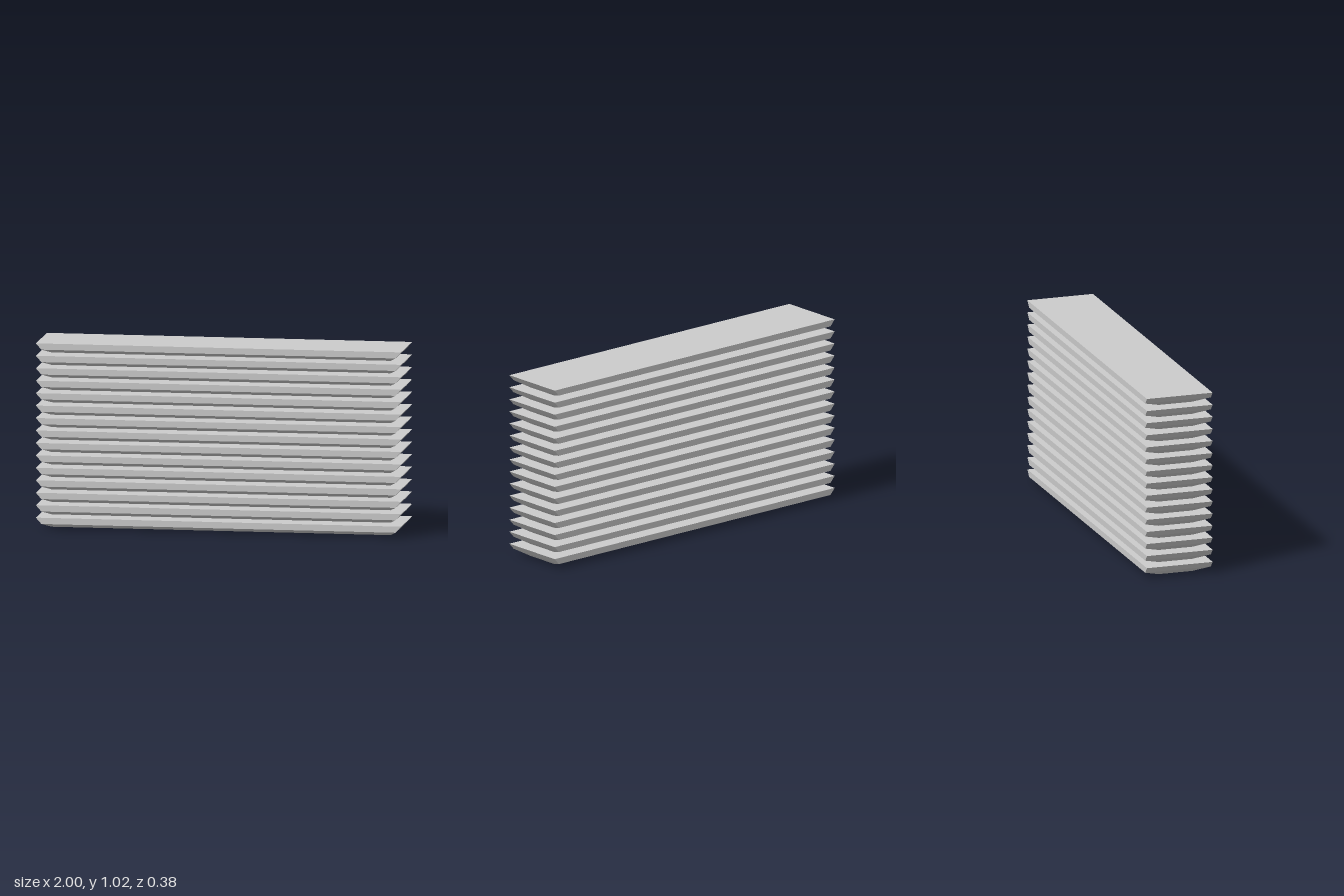
import * as THREE from 'three';

const COUNT = 15, PITCH = 0.0681, HEIGHT = 0.062;

// Half sizes of a slat at its bottom, middle and top levels
const LEVELS = [
  { y: 0, x: 0.928, z: 0.096 },
  { y: 0.028, x: 0.97, z: 0.1875 },
  { y: HEIGHT, x: 1, z: 0.1875 },
];

// Slat: a box with one middle ring, its lower rings drawn inwards
function slatGeometry() {
  const geo = new THREE.BoxGeometry(2, 2, 2, 1, 2, 1);
  const pos = geo.attributes.position;
  for (let i = 0; i < pos.count; i++) {
    const level = LEVELS[Math.round(pos.getY(i)) + 1];
    pos.setXYZ(i, pos.getX(i) * level.x, level.y, pos.getZ(i) * level.z);
  }
  const flat = geo.toNonIndexed();
  flat.computeVertexNormals();
  return flat;
}

export function createModel() {
  const group = new THREE.Group();
  group.name = 'slatStack';
  const material = new THREE.MeshStandardMaterial({ color: 0xcccccc, flatShading: true });
  const geometry = slatGeometry();

  // Evenly spaced stack of slats
  for (let i = 0; i < COUNT; i++) {
    const slat = new THREE.Mesh(geometry, material);
    slat.name = `slat${i + 1}`;
    slat.position.y = i * PITCH;
    group.add(slat);
  }

  // The whole stack sits very slightly turned
  group.rotation.y = 0.0025;
  return group;
}
